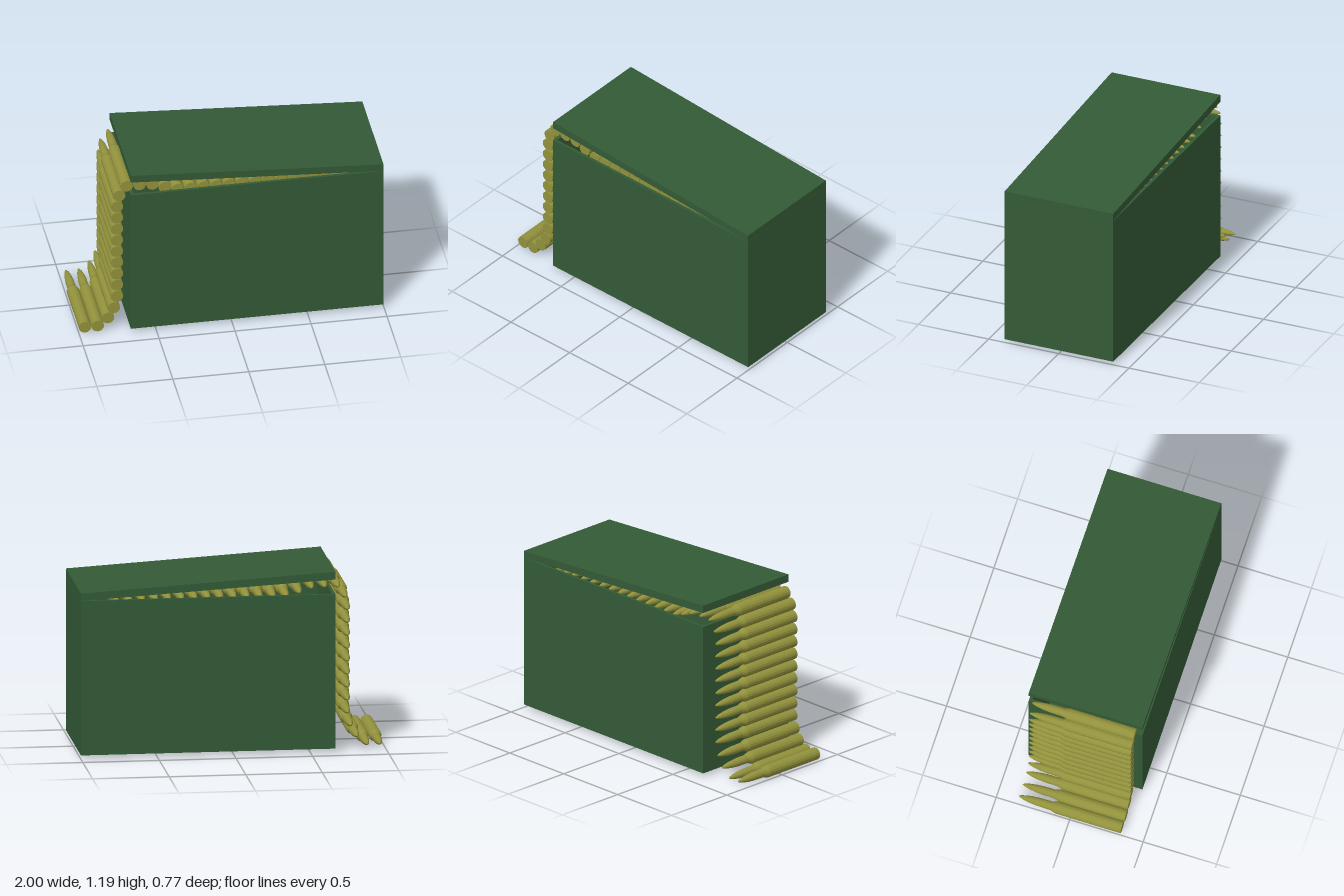
import * as THREE from 'three';

const green = new THREE.MeshStandardMaterial({ color: 0x335a36, side: THREE.DoubleSide });
const brass = new THREE.MeshStandardMaterial({ color: 0x91913c, flatShading: true });

const LEFT = -0.665, RIGHT = 0.998, BOTTOM = 0.022, TOP = 1.045, HALF_Z = 0.387, WALL = 0.02;

function box(name, x0, x1, y0, y1, z0, z1) {
  const mesh = new THREE.Mesh(new THREE.BoxGeometry(x1 - x0, y1 - y0, z1 - z0), green);
  mesh.position.set((x0 + x1) / 2, (y0 + y1) / 2, (z0 + z1) / 2);
  mesh.name = name;
  return mesh;
}

// Open-topped container: floor and four walls
function createContainer() {
  const group = new THREE.Group();
  group.name = 'container';
  group.add(
    box('floor', LEFT, RIGHT, BOTTOM, BOTTOM + WALL, -HALF_Z, HALF_Z),
    box('frontWall', LEFT, RIGHT, BOTTOM + WALL, TOP, HALF_Z - WALL, HALF_Z),
    box('backWall', LEFT, RIGHT, BOTTOM + WALL, TOP, -HALF_Z, -HALF_Z + WALL),
    box('rightEndWall', LEFT, LEFT + WALL, BOTTOM + WALL, TOP, -HALF_Z + WALL, HALF_Z - WALL),
    box('leftEndWall', RIGHT - WALL, RIGHT, BOTTOM + WALL, TOP, -HALF_Z + WALL, HALF_Z - WALL)
  );
  return group;
}

// Slab lid, resting on the +x edge and raised at the other end
function createLid() {
  const shape = new THREE.Shape([
    new THREE.Vector2(LEFT, 1.143), new THREE.Vector2(RIGHT, 1.046),
    new THREE.Vector2(RIGHT, 1.095), new THREE.Vector2(LEFT, 1.194)
  ]);
  const geometry = new THREE.ExtrudeGeometry(shape, { depth: HALF_Z * 2, bevelEnabled: false });
  geometry.translate(0, 0, -HALF_Z);
  const lid = new THREE.Mesh(geometry, green);
  lid.name = 'lid';
  return lid;
}

// Centres of the cartridges along the belt, from the ground up and into the box
function beltCentres() {
  const points = [[-0.959, 0.041], [-0.875, 0.041], [-0.808, 0.095], [-0.769, 0.168]];
  for (let i = 0; i < 9; i++) points.push([-0.749, 0.254 + i * 0.0857]);
  points.push([-0.734, 1.022], [-0.685, 1.09], [-0.6, 1.092], [-0.514, 1.086], [-0.434, 1.056]);
  for (let i = 0; i < 12; i++) points.push([-0.35 + i * 0.0853, 1.03]);
  points.push([0.672, 1.02], [0.755, 1.008]);
  return points;
}

// Cartridges: straight case, shoulder, then a pointed tip towards the back
function createBelt() {
  const profile = [
    [0, -0.345], [0.041, -0.345], [0.041, 0.1], [0.029, 0.14], [0.028, 0.22],
    [0.024, 0.27], [0.017, 0.315], [0.008, 0.348], [0, 0.36]
  ].map(([r, y]) => new THREE.Vector2(r, y));
  const geometry = new THREE.LatheGeometry(profile, 16).rotateX(-Math.PI / 2);
  const group = new THREE.Group();
  group.name = 'cartridgeBelt';
  for (const [x, y] of beltCentres()) {
    const cartridge = new THREE.Mesh(geometry, brass);
    cartridge.name = 'cartridge';
    cartridge.position.set(x, y, 0);
    group.add(cartridge);
  }
  return group;
}

export function createModel() {
  const model = new THREE.Group();
  model.name = 'ammunitionBox';
  model.add(createContainer(), createLid(), createBelt());
  return model;
}
